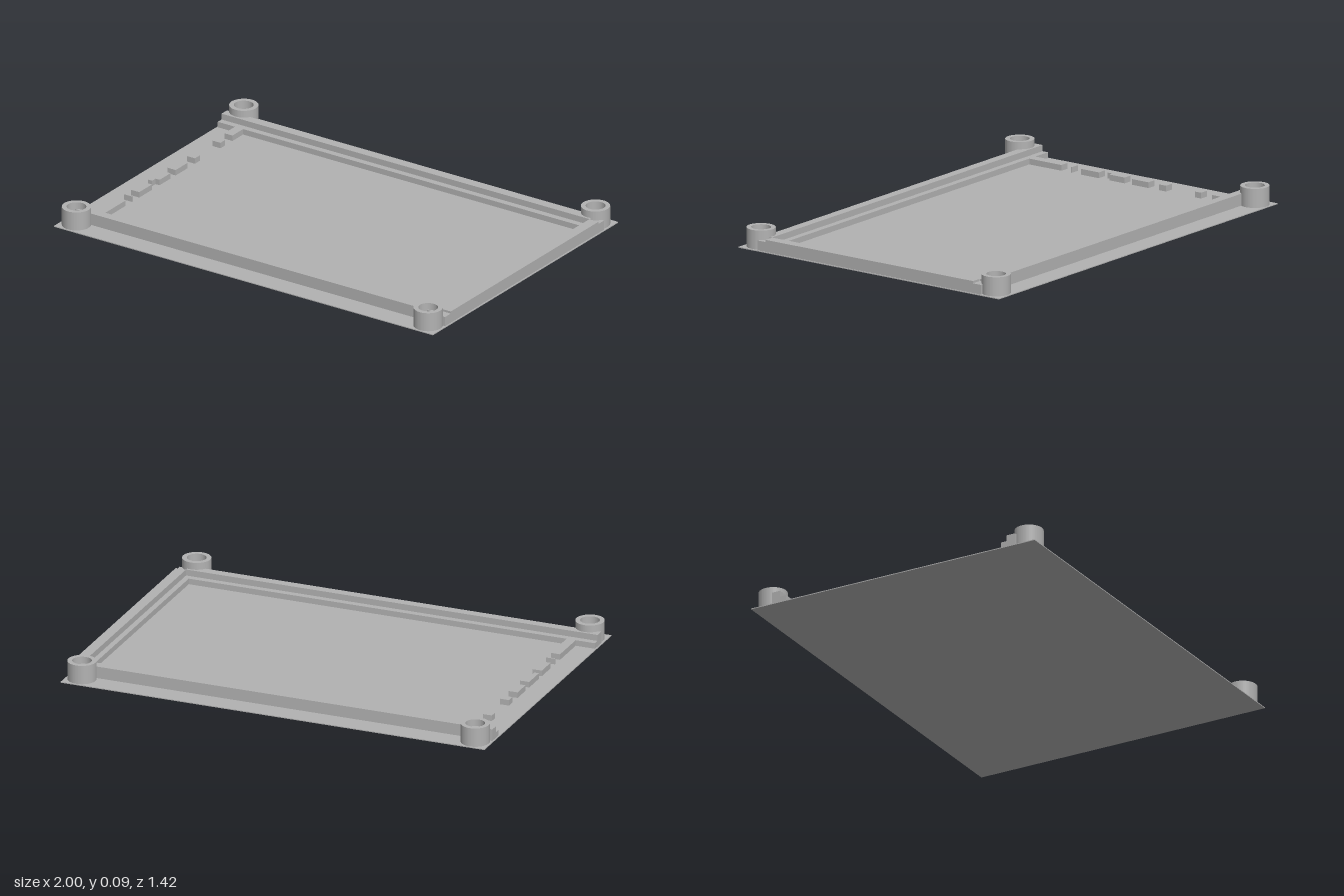
import * as THREE from 'three';

export function createModel() {
  const group = new THREE.Group();
  group.name = 'enclosureTray';
  const grey = new THREE.MeshStandardMaterial({ color: 0xb2b2b2, flatShading: true });
  grey.name = 'plastic grey';

  const FLOOR = 0.004, LEDGE = 0.03, WALL = 0.058, BOSS = 0.09;

  // Box given by its extents in x and z, from the floor up to a height
  function block(name, x0, x1, z0, z1, top, bottom = FLOOR) {
    const mesh = new THREE.Mesh(new THREE.BoxGeometry(x1 - x0, top - bottom, z1 - z0), grey);
    mesh.position.set((x0 + x1) / 2, (top + bottom) / 2, (z0 + z1) / 2);
    mesh.name = name;
    group.add(mesh);
  }

  // Thin floor plate
  block('basePlate', -1, 1, -0.7125, 0.7125, FLOOR, 0);

  // Long side walls, each with a lower inner ledge
  for (const s of [-1, 1]) {
    const span = (a, b) => (s > 0 ? [a, b] : [-b, -a]);
    block('sideWall', -0.995, 0.947, ...span(0.569, 0.611), WALL);
    block('sideLedge', -0.995, 0.947, ...span(0.54, 0.569), LEDGE);
    // Low link between the side wall and the end wall
    block('cornerLink', 0.947, 0.995, ...span(0.567, 0.611), 0.048);
  }

  // End wall and its ledge
  block('endWall', 0.947, 0.995, -0.567, 0.567, WALL);
  block('endLedge', 0.922, 0.947, -0.54, 0.54, LEDGE);

  // Broken support rib along the open end
  const ribs = [
    [-0.54, -0.458], [-0.4, -0.366], [-0.208, -0.17], [-0.112, -0.022],
    [0.018, 0.102], [0.16, 0.258], [0.307, 0.313], [0.364, 0.54],
  ];
  for (const [z0, z1] of ribs) block('supportRib', -0.904, -0.861, z0, z1, LEDGE);
  block('supportRibTongue', -0.904, -0.882, 0.102, 0.128, LEDGE);

  // Hollow screw bosses at the corners
  const ring = new THREE.Shape().absarc(0, 0, 0.064, 0, Math.PI * 2, false);
  ring.holes.push(new THREE.Path().absarc(0, 0, 0.043, 0, Math.PI * 2, true));
  const bossGeometry = new THREE.ExtrudeGeometry(ring, {
    depth: BOSS - FLOOR, bevelEnabled: false, curveSegments: 30,
  });
  bossGeometry.rotateX(-Math.PI / 2);
  for (const x of [-0.928, 0.928]) {
    for (const z of [-0.643, 0.643]) {
      const boss = new THREE.Mesh(bossGeometry, grey);
      boss.position.set(x, FLOOR, z);
      boss.name = 'screwBoss';
      group.add(boss);
    }
  }
  return group;
}
